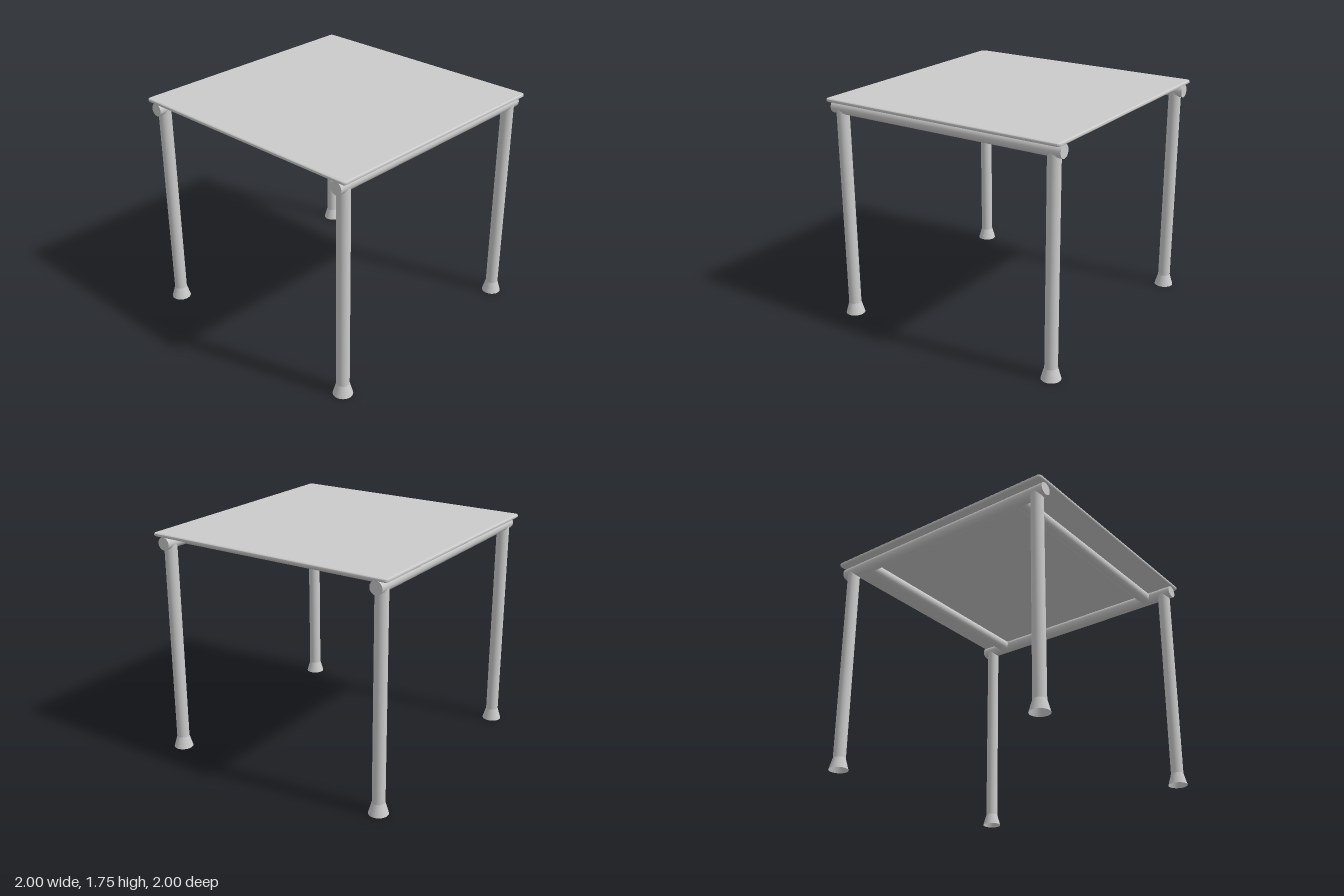
import * as THREE from 'three';
import { toCreasedNormals } from 'three/addons/utils/BufferGeometryUtils.js';

const material = new THREE.MeshStandardMaterial({ color: 0xcccccc });
const hollow = new THREE.MeshStandardMaterial({ color: 0xcccccc, side: THREE.DoubleSide });

const LEG = 0.91;      // leg offset in x and z
const LEG_R = 0.048;
const RAIL_R = 0.049;
const RAIL_Y = 1.679;

function add(parent, name, geometry, mat = material) {
  const mesh = new THREE.Mesh(geometry, mat);
  mesh.name = name;
  parent.add(mesh);
  return mesh;
}

// Thin slab with rounded corners and a bullnose edge, standing on y = 0
function slabGeometry(half, corner, thickness) {
  const bevel = thickness / 2 - 0.001;
  const h = half - bevel;
  const r = corner - bevel;
  const shape = new THREE.Shape();
  shape.absarc(h - r, h - r, r, 0, Math.PI / 2);
  shape.absarc(r - h, h - r, r, Math.PI / 2, Math.PI);
  shape.absarc(r - h, r - h, r, Math.PI, Math.PI * 1.5);
  shape.absarc(h - r, r - h, r, Math.PI * 1.5, Math.PI * 2);
  const raw = new THREE.ExtrudeGeometry(shape, {
    depth: thickness - 2 * bevel, bevelEnabled: true, bevelSize: bevel,
    bevelThickness: bevel, bevelSegments: 6, curveSegments: 8,
  });
  const lidCount = raw.groups[0].count;
  const geometry = toCreasedNormals(raw, 0.6);
  // Keep the large faces evenly flat
  const { position, normal } = geometry.attributes;
  for (let i = 0; i < lidCount; i++) {
    normal.setXYZ(i, 0, 0, position.getZ(i) > thickness / 2 ? 1 : -1);
  }
  geometry.translate(0, 0, bevel);
  geometry.rotateX(-Math.PI / 2);
  return geometry;
}

export function createModel() {
  const table = new THREE.Group();
  table.name = 'table';

  // Table top
  add(table, 'tableTop', slabGeometry(1, 0.03, 0.027)).position.y = 1.728;

  // Four round legs with flared, open feet
  const legGeometry = new THREE.CylinderGeometry(LEG_R, LEG_R, RAIL_Y - 0.09, 32, 1, true);
  const footGeometry = new THREE.CylinderGeometry(LEG_R, 0.074, 0.09, 32, 1, true);
  for (const x of [-1, 1]) {
    for (const z of [-1, 1]) {
      const leg = new THREE.Group();
      leg.name = (z > 0 ? 'front' : 'back') + (x > 0 ? 'Left' : 'Right') + 'Leg';
      leg.position.set(x * LEG, 0, z * LEG);
      add(leg, 'post', legGeometry, hollow).position.y = (RAIL_Y + 0.09) / 2;
      add(leg, 'foot', footGeometry, hollow).position.y = 0.045;
      table.add(leg);
    }
  }

  // Long rails over the legs, cross rails set in between them
  const longRail = new THREE.CylinderGeometry(RAIL_R, RAIL_R, 1.97, 32).rotateZ(Math.PI / 2);
  const crossRail = new THREE.CylinderGeometry(RAIL_R, RAIL_R, 2 * LEG, 32).rotateX(Math.PI / 2);
  for (const s of [-1, 1]) {
    add(table, s > 0 ? 'frontRail' : 'backRail', longRail).position.set(0, RAIL_Y, s * LEG);
    add(table, s > 0 ? 'leftCrossRail' : 'rightCrossRail', crossRail).position.set(s * 0.75, RAIL_Y, 0);
  }

  return table;
}
